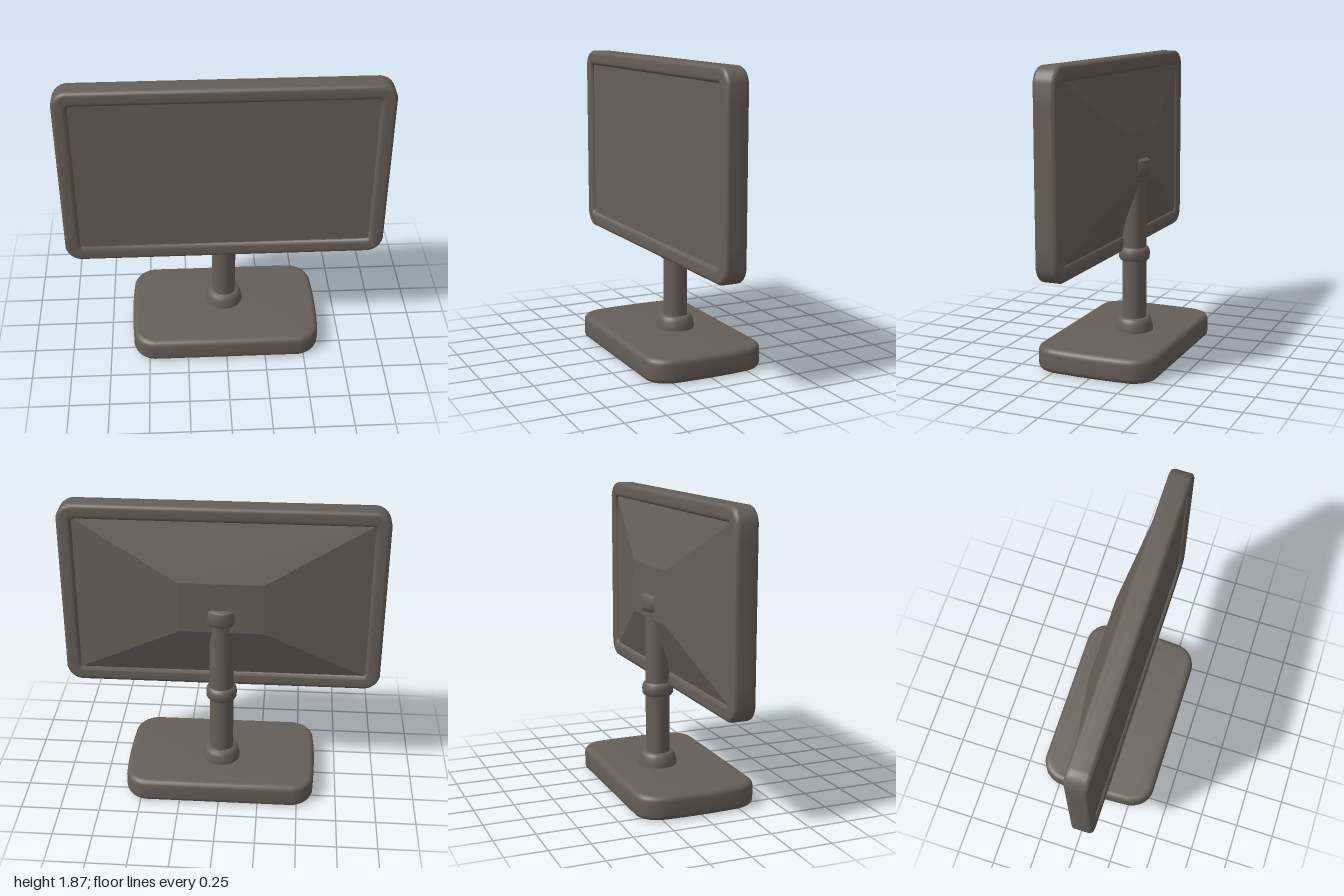
import * as THREE from 'three';
import { toCreasedNormals } from 'three/addons/utils/BufferGeometryUtils.js';

// Rounded rectangle centred on (0, cy); bulge bows the short sides outward
function roundedRect(path, w, h, r, cy = 0, bulge = 0) {
  const x = w / 2, b = cy - h / 2, t = cy + h / 2, e = x - bulge;
  path.moveTo(-e + r, b);
  path.lineTo(e - r, b);
  path.quadraticCurveTo(e - r * 0.2, b + r * 0.15, e, b + r);
  path.quadraticCurveTo(x + bulge, cy, e, t - r);
  path.quadraticCurveTo(e - r * 0.2, t - r * 0.15, e - r, t);
  path.lineTo(-e + r, t);
  path.quadraticCurveTo(-e + r * 0.2, t - r * 0.15, -e, t - r);
  path.quadraticCurveTo(-x - bulge, cy, -e, b + r);
  path.quadraticCurveTo(-e + r * 0.2, b + r * 0.15, -e + r, b);
  return path;
}

// Extrusion from z = 0 to depth with rounded edges inside the outline
function softExtrude(shape, depth, bevel) {
  const g = new THREE.ExtrudeGeometry(shape, {
    depth: depth - 2 * bevel, bevelEnabled: true, bevelThickness: bevel,
    bevelSize: bevel, bevelOffset: -bevel, bevelSegments: 5, curveSegments: 8,
  });
  g.translate(0, 0, bevel);
  return toCreasedNormals(g, 0.7);
}

// Turned part from [radius, y] points
function turned(points) {
  const g = new THREE.LatheGeometry(points.map(([r, y]) => new THREE.Vector2(r, y)), 32);
  return toCreasedNormals(g, 0.7);
}

export function createModel() {
  const model = new THREE.Group();
  model.name = 'monitor';
  const plastic = new THREE.MeshStandardMaterial({ color: 0x665e58 });
  plastic.name = 'darkPlastic';
  const add = (name, geometry, x = 0, y = 0, z = 0) => {
    const mesh = new THREE.Mesh(geometry, plastic);
    mesh.name = name;
    mesh.position.set(x, y, z);
    model.add(mesh);
    return mesh;
  };

  // Foot with a slightly domed top
  const footShape = roundedRect(new THREE.Shape(), 1.22, 0.77, 0.13, 0, 0.01);
  const foot = softExtrude(footShape, 0.152, 0.035);
  foot.rotateX(-Math.PI / 2);
  add('foot', foot);

  // Stand: collar, pole, ring and top cap
  const poleZ = -0.05;
  add('poleCollar', turned([
    [0, 0.14], [0.12, 0.14], [0.12, 0.17], [0.112, 0.205], [0.104, 0.228], [0.092, 0.237], [0, 0.237],
  ]), 0, 0, poleZ);
  add('pole', new THREE.CylinderGeometry(0.076, 0.076, 1.05, 32), 0, 0.675, poleZ);
  add('poleRing', turned([
    [0.07, 0.605], [0.088, 0.609], [0.096, 0.622], [0.098, 0.65], [0.096, 0.672], [0.088, 0.686], [0.07, 0.695],
  ]), 0, 0, poleZ);
  add('poleCap', turned([
    [0, 1.145], [0.082, 1.145], [0.095, 1.155], [0.1, 1.175], [0.1, 1.225], [0.095, 1.245], [0.082, 1.254], [0, 1.254],
  ]), 0, 0, poleZ);

  // Screen frame
  const midY = 1.268;
  const frameShape = roundedRect(new THREE.Shape(), 2, 1.212, 0.09, midY);
  frameShape.holes.push(roundedRect(new THREE.Path(), 1.81, 1.02, 0.015, midY));
  add('screenFrame', softExtrude(frameShape, 0.143, 0.026));

  // Recessed screen
  add('screen', new THREE.BoxGeometry(1.83, 1.04, 0.06), 0, midY, 0.092);

  // Back housing: box whose rear face shrinks to a raised centre
  const housing = new THREE.BoxGeometry(1.83, 1.04, 0.126);
  const p = housing.attributes.position;
  for (let i = 0; i < p.count; i++) {
    if (p.getZ(i) < 0) {
      p.setX(i, Math.sign(p.getX(i)) * 0.26);
      p.setY(i, Math.sign(p.getY(i)) * 0.165);
    }
  }
  add('backHousing', toCreasedNormals(housing, 0.1), 0, midY, -0.043);

  return model;
}
